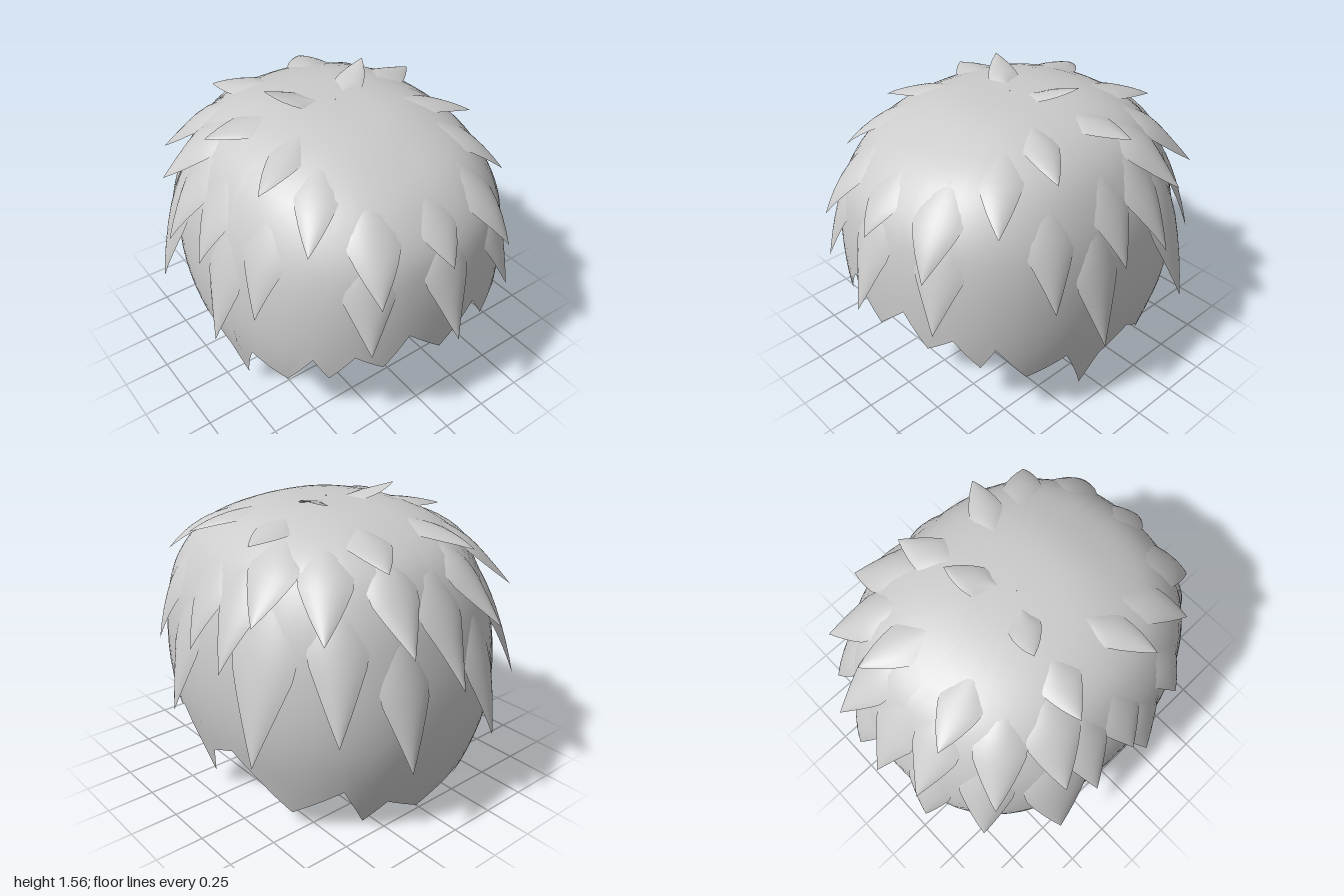
import * as THREE from 'three';

// Dome profile from crown to hem: height, half width, front depth, back depth
const PROFILE = [
  [1.5, 0.002, 0.002, 0.002], [1.49, 0.22, 0.25, 0.25], [1.44, 0.43, 0.44, 0.48], [1.33, 0.6, 0.67, 0.69],
  [1.15, 0.71, 0.83, 0.8], [0.95, 0.77, 0.88, 0.86], [0.7, 0.79, 0.89, 0.9], [0.45, 0.77, 0.87, 0.89],
  [0.2, 0.71, 0.8, 0.82], [0, 0.66, 0.72, 0.73],
];
// Jagged hem: angle from the front in degrees, height (mirrored to the other side)
const HEM = [
  [0, 0.51], [13, 0.7], [21, 0.52], [30, 0.62], [38, 0.45], [43, 0.58], [53, 0.34], [68, 0.42], [80, 0.07],
  [87, 0.26], [102, 0.35], [114, 0.23], [127, 0.07], [146, 0.27], [154, 0.03], [162, 0.16], [180, 0],
];
// Raised locks: tip x, y, z, length along the dome, half angle of the lock in degrees
const LOCKS = [
  [0, 0.66, 1.0, 0.34, 9], [0, 1.05, 0.92, 0.25, 9],
  [0.43, 0.7, 0.88, 0.3, 9], [0.39, 0.98, 0.89, 0.32, 10], [0.59, 1.19, 0.61, 0.3, 11],
  [0.78, 0.78, 0.43, 0.36, 10], [0.87, 0.49, 0.17, 0.36, 10], [0.84, 0.87, 0.02, 0.34, 11],
  [0.64, 1.36, 0.3, 0.26, 12], [0.84, 0.44, -0.47, 0.45, 13], [0.86, 0.85, -0.26, 0.36, 11],
  [0.78, 1.11, -0.42, 0.32, 13], [0.3, 1.56, -0.18, 0.16, 26], [0.63, 1.4, -0.2, 0.2, 14],
  [0, 0.77, -1.0, 0.38, 10], [0.28, 0.42, -0.96, 0.36, 9], [0.6, 0.61, -0.81, 0.38, 10],
  [0.29, 1.0, -0.95, 0.32, 10], [0.62, 1.08, -0.73, 0.32, 11], [0.28, 1.34, -0.76, 0.22, 12],
];

const material = new THREE.MeshStandardMaterial({ color: 0xcccccc, side: THREE.DoubleSide });
const curve = (k) => new THREE.CatmullRomCurve3(
  PROFILE.map((p) => new THREE.Vector3(p[1], p[0], p[k])), false, 'catmullrom');
const frontCurve = curve(2), backCurve = curve(3);

// Point on the dome at an angle (radians from the front) and s (0 crown, 1 bottom)
function dome(angle, s, lift = 0) {
  const sin = Math.sin(angle), cos = Math.cos(angle);
  const p = (cos >= 0 ? frontCurve : backCurve).getPoint(THREE.MathUtils.clamp(s, 0, 1));
  const n = 2.35;
  const r = Math.pow(Math.abs(sin / p.x) ** n + Math.abs(cos / p.z) ** n, -1 / n) + lift;
  return new THREE.Vector3(sin * r, p.y, cos * r);
}

// s value at which the dome reaches a given height
function sAtHeight(y) {
  let lo = 0, hi = 1;
  for (let i = 0; i < 24; i++) {
    const mid = (lo + hi) / 2;
    if (frontCurve.getPoint(mid).y > y) lo = mid; else hi = mid;
  }
  return (lo + hi) / 2;
}

// Smooth grid of points: at(i, j) for column i and row j
function gridMesh(name, cols, rows, at) {
  const pos = [], index = [];
  for (let j = 0; j <= rows; j++) for (let i = 0; i <= cols; i++) pos.push(...at(i, j).toArray());
  for (let j = 0; j < rows; j++) {
    for (let i = 0; i < cols; i++) {
      const a = j * (cols + 1) + i, b = a + cols + 1;
      index.push(a, b, a + 1, b, b + 1, a + 1);
    }
  }
  const geo = new THREE.BufferGeometry();
  geo.setAttribute('position', new THREE.Float32BufferAttribute(pos, 3));
  geo.setIndex(index);
  geo.computeVertexNormals();
  const mesh = new THREE.Mesh(geo, material);
  mesh.name = name;
  return mesh;
}

// Open cap whose lower rim follows the zigzag hem
function makeCap() {
  const ring = [...HEM.slice(1).reverse().map(([a, y]) => [-a, y]), ...HEM];
  const SUB = 4, cols = (ring.length - 1) * SUB, rows = 22;
  const columns = [];
  for (let i = 0; i <= cols; i++) {
    const k = Math.min(Math.floor(i / SUB), ring.length - 2), t = i / SUB - k;
    const angle = THREE.MathUtils.lerp(ring[k][0], ring[k + 1][0], t);
    const y = THREE.MathUtils.lerp(ring[k][1], ring[k + 1][1], t);
    columns.push([THREE.MathUtils.degToRad(angle), sAtHeight(y)]);
  }
  return gridMesh('hairCap', cols, rows, (i, j) => {
    const [angle, end] = columns[i];
    return dome(angle, end * j / rows);
  });
}

// Pointed lock that rises out of the cap towards its tip
function makeLock([x, y, z, length, half], name) {
  const tip = new THREE.Vector3(x, y, z), angle = Math.atan2(x, z);
  let sTip = 0, best = Infinity;
  for (let s = 0; s <= 1; s += 0.005) {
    const d = dome(angle, s).distanceTo(tip);
    if (d < best) { best = d; sTip = s; }
  }
  const offset = tip.clone().sub(dome(angle, sTip));
  const spread = THREE.MathUtils.degToRad(half), cols = 8, rows = 10;
  return gridMesh(name, cols, rows, (i, j) => {
    const u = i / cols * 2 - 1, v = j / rows;
    const taper = v < 0.55 ? 0.75 + 0.25 * v / 0.55 : (1 - v) / 0.45;
    const p = dome(angle + u * spread * taper, sTip - length * (1 - v));
    const rise = v * v * (1 - 0.75 * u * u * (1 - v));
    p.addScaledVector(offset, rise);
    // root and edges sink slightly into the cap
    const sink = (1 - v) * (0.012 * (1 - v) + 0.035 * u * u);
    return p.addScaledVector(new THREE.Vector3(p.x, p.y - 0.7, p.z).normalize(), -sink);
  });
}

export function createModel() {
  const model = new THREE.Group();
  model.name = 'hair';
  model.add(makeCap());
  for (const lock of LOCKS) {
    const [x, ...rest] = lock;
    if (x === 0) model.add(makeLock(lock, 'middleLock'));
    else {
      model.add(makeLock(lock, 'leftLock'));
      model.add(makeLock([-x, ...rest], 'rightLock'));
    }
  }
  return model;
}
